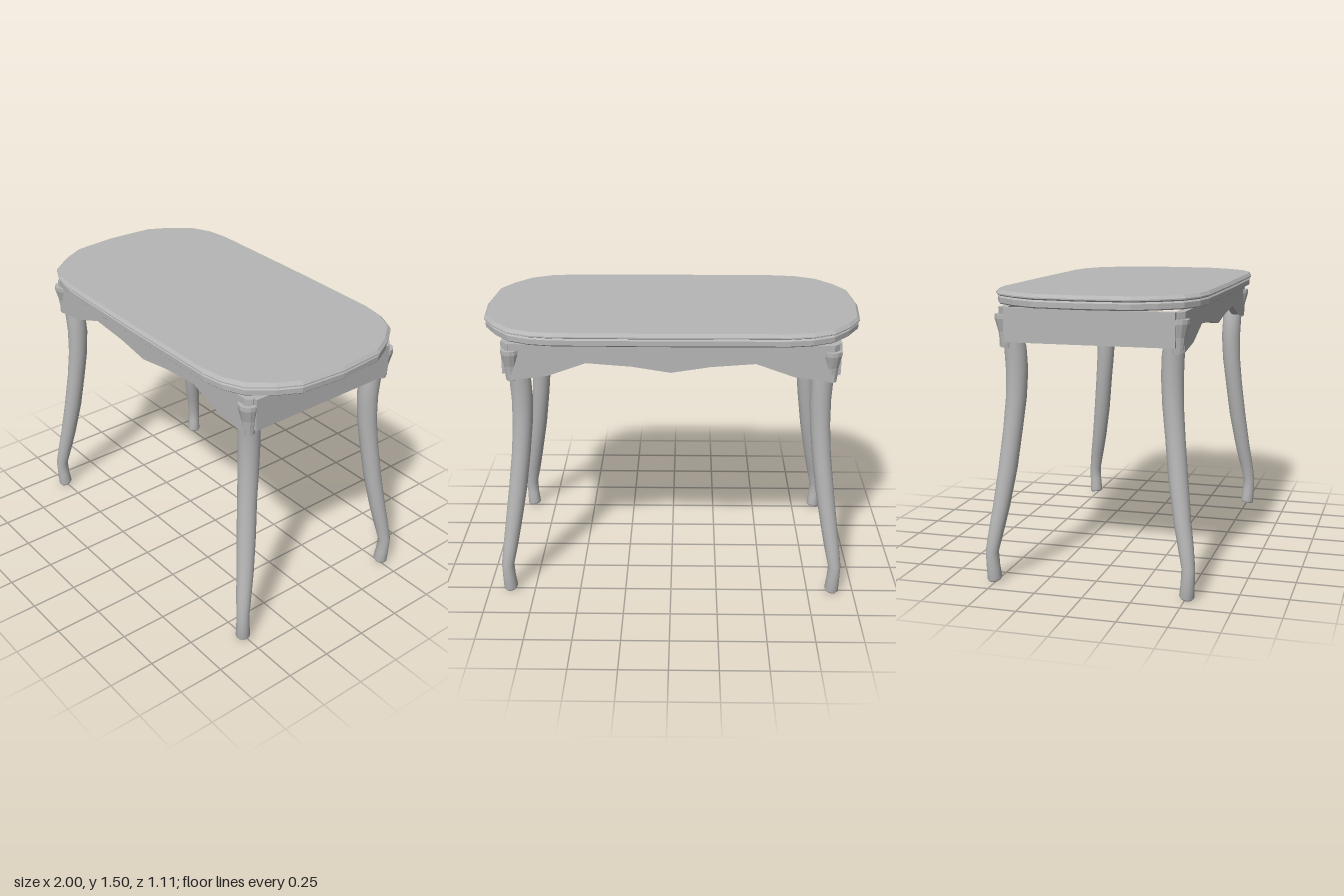
import * as THREE from 'three';

const grey = new THREE.MeshStandardMaterial({ color: 0xb6b6b6 });
grey.name = 'grey paint';

function addMesh(parent, name, geometry) {
  const mesh = new THREE.Mesh(geometry, grey);
  mesh.name = name;
  parent.add(mesh);
  return mesh;
}

// Closed skin over rings of points listed from bottom to top, each ring running from +x to +z
function loft(rings, smooth) {
  const n = rings[0].length;
  const pos = [];
  const idx = [];
  rings.forEach((ring) => ring.forEach((p) => pos.push(...p)));
  for (let i = 0; i < rings.length - 1; i++) {
    for (let j = 0; j < n; j++) {
      const a = i * n + j;
      const b = i * n + ((j + 1) % n);
      idx.push(a, a + n, b, b, a + n, b + n);
    }
  }
  [rings[0], rings[rings.length - 1]].forEach((ring, top) => {
    const start = pos.length / 3;
    ring.forEach((p) => pos.push(...p));
    for (let j = 1; j < n - 1; j++) {
      idx.push(start, start + (top ? j + 1 : j), start + (top ? j : j + 1));
    }
  });
  let g = new THREE.BufferGeometry();
  g.setAttribute('position', new THREE.Float32BufferAttribute(pos, 3));
  g.setIndex(idx);
  if (!smooth) g = g.toNonIndexed();
  g.computeVertexNormals();
  return g;
}

// Rounded table outline, mirrored from one quarter
function tabletopOutline() {
  const q = [[1, 0], [0.98, 0.25], [0.918, 0.368], [0.83, 0.477], [0.72, 0.53], [0.6, 0.55], [0, 0.555]];
  const half = [...q, ...q.slice(0, -1).reverse().map(([x, z]) => [-x, z])];
  return [...half, ...half.slice(1, -1).reverse().map(([x, z]) => [x, -z])];
}

function tabletop() {
  // inset and height of each moulding line
  const profile = [[0.013, 1.434], [0.007, 1.44], [0.007, 1.466], [0.014, 1.474], [0, 1.481], [0, 1.487], [0.014, 1.503]];
  const outline = tabletopOutline();
  return loft(profile.map(([inset, y]) =>
    outline.map(([x, z]) => [x * (1 - inset), y, z * (1 - inset / 0.555)])), false);
}

// Curved leg: each section is centre x, y, centre z, radius, tilt
function leg(sx, sz) {
  const sections = [
    [0.882, 0.012, 0.507, 0.03, -0.25], [0.883, 0.024, 0.508, 0.038, -0.25],
    [0.888, 0.09, 0.513, 0.035, -0.1], [0.891, 0.17, 0.516, 0.034, 0],
    [0.872, 0.28, 0.497, 0.04, 0], [0.853, 0.4, 0.475, 0.044, 0],
    [0.822, 0.6, 0.446, 0.049, 0], [0.797, 0.8, 0.424, 0.05, 0],
    [0.783, 0.96, 0.408, 0.053, 0], [0.778, 1.1, 0.403, 0.056, 0],
    [0.783, 1.22, 0.408, 0.056, 0], [0.8, 1.31, 0.423, 0.045, 0], [0.825, 1.39, 0.447, 0.025, 0],
  ];
  const n = 20;
  return loft(sections.map(([x, y, z, r, tilt]) => Array.from({ length: n }, (_, j) => {
    const a = (j / n) * Math.PI * 2;
    const dx = Math.cos(a) * r;
    const dz = Math.sin(a) * r;
    return [sx * x + dx, y + tilt * (sx * dx + sz * dz) * 0.707, sz * z + dz];
  })), true);
}

// Flared bracket covering the corner joint
function knee(sx, sz) {
  const sections = [[0.82, 1.22, 0.44, 0.03], [0.82, 1.3, 0.441, 0.038], [0.82, 1.365, 0.445, 0.052], [0.82, 1.387, 0.446, 0.051]];
  const n = 12;
  return loft(sections.map(([x, y, z, r]) => Array.from({ length: n }, (_, j) => {
    const a = (j / n) * Math.PI * 2;
    return [sx * x + Math.cos(a) * r, y, sz * z + Math.sin(a) * r];
  })), false);
}

// Scalloped long apron
function longApron() {
  const edge = [[0.83, 1.225], [0.63, 1.252], [0.433, 1.322], [0.2, 1.304], [0, 1.272]];
  const lower = [...edge, ...edge.slice(0, -1).reverse().map(([x, y]) => [-x, y])];
  const points = [[-0.83, 1.422], ...lower.reverse(), [0.83, 1.422]];
  const shape = new THREE.Shape(points.map(([x, y]) => new THREE.Vector2(x, y)));
  return new THREE.ExtrudeGeometry(shape, { depth: 0.042, bevelEnabled: false });
}

export function createModel() {
  const table = new THREE.Group();
  table.name = 'table';
  addMesh(table, 'tabletop', tabletop());

  for (const s of [1, -1]) {
    const side = s > 0 ? 'front' : 'back';
    addMesh(table, side + 'Apron', longApron()).position.z = s > 0 ? 0.432 : -0.474;
    const end = addMesh(table, (s > 0 ? 'left' : 'right') + 'Apron', new THREE.BoxGeometry(0.04, 0.172, 0.872));
    end.position.set(s * 0.85, 1.336, 0);
  }

  // Legs with their corner pieces
  for (const sx of [1, -1]) {
    for (const sz of [1, -1]) {
      const corner = new THREE.Group();
      corner.name = (sz > 0 ? 'front' : 'back') + (sx > 0 ? 'Left' : 'Right') + 'Leg';
      addMesh(corner, 'leg', leg(sx, sz));
      addMesh(corner, 'knee', knee(sx, sz));
      const post = addMesh(corner, 'cornerPost', new THREE.BoxGeometry(0.04, 0.1, 0.04));
      post.position.set(sx * 0.828, 1.372, sz * 0.448);
      post.rotation.y = Math.PI / 4;
      table.add(corner);
    }
  }
  return table;
}
